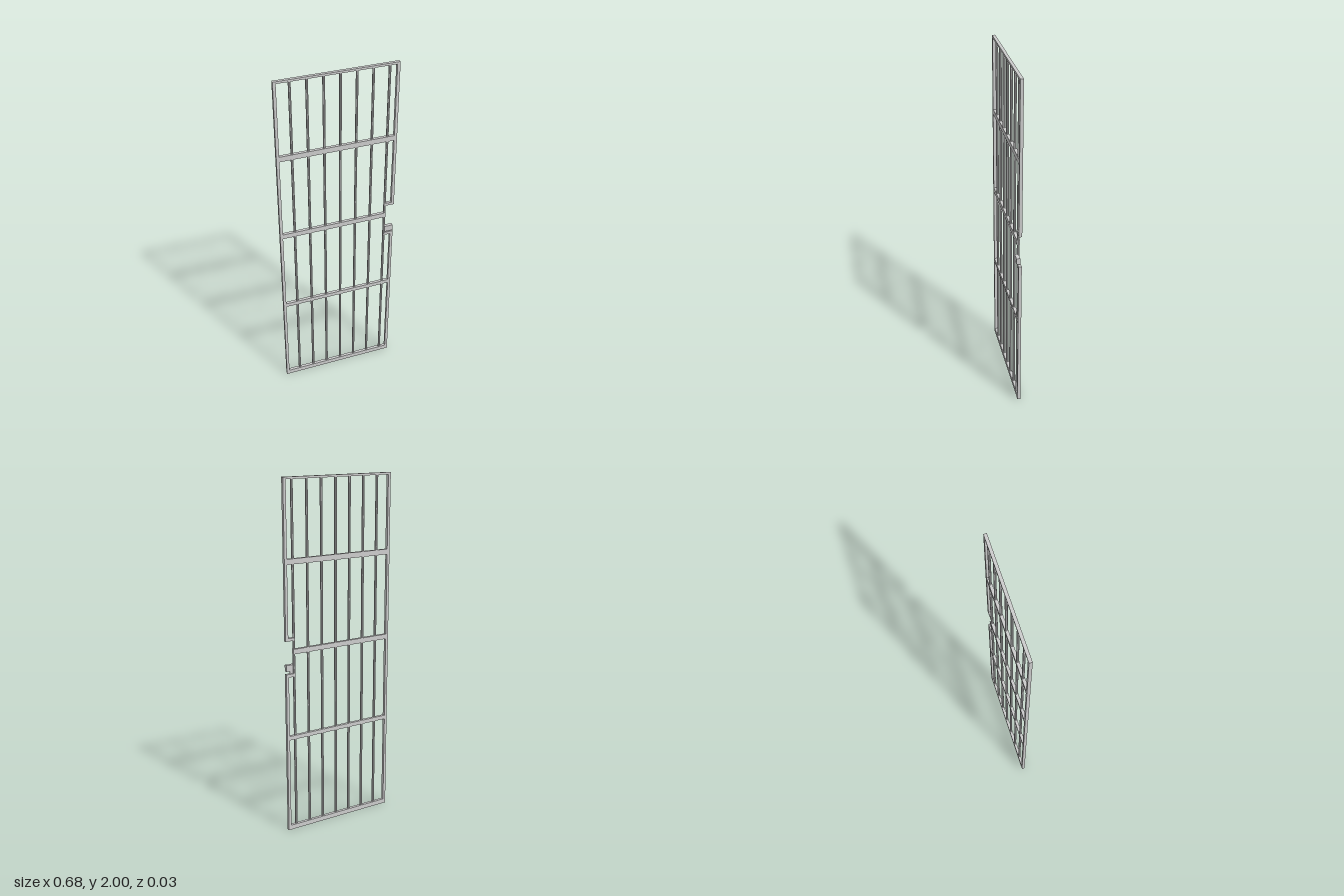
import * as THREE from 'three';

const material = new THREE.MeshStandardMaterial({ color: 0xcccccc, flatShading: true });
const BACK = -0.0145, FRONT = 0.003;

export function createModel() {
  const door = new THREE.Group();
  door.name = 'barredDoor';

  // Box given by its limits on each axis
  function box(name, x0, x1, y0, y1, z0 = BACK, z1 = FRONT) {
    const mesh = new THREE.Mesh(new THREE.BoxGeometry(x1 - x0, y1 - y0, z1 - z0), material);
    mesh.position.set((x0 + x1) / 2, (y0 + y1) / 2, (z0 + z1) / 2);
    mesh.name = name;
    door.add(mesh);
  }

  // Outer frame, with the left stile broken by the lock notch
  box('bottomRail', -0.338, 0.338, 0, 0.027);
  box('topRail', -0.338, 0.338, 1.988, 2);
  box('rightStile', -0.338, -0.322, 0.027, 1.988);
  box('leftStileLower', 0.322, 0.338, 0.027, 0.94);
  box('leftStileUpper', 0.322, 0.338, 1.127, 1.988);
  box('notchLowerCap', 0.283, 0.322, 0.922, 0.94);
  box('notchUpperCap', 0.283, 0.322, 1.127, 1.143);

  // Cross rails; the middle one stops at the notch
  box('lowerCrossRail', -0.322, 0.322, 0.553, 0.576);
  box('middleCrossRail', -0.322, 0.29, 1.05, 1.078);
  box('upperCrossRail', -0.322, 0.322, 1.545, 1.575);

  // Upright bars
  const bar = new THREE.CylinderGeometry(0.0075, 0.0075, 1.97, 8);
  for (let i = 0; i < 7; i++) {
    const mesh = new THREE.Mesh(bar, material);
    mesh.name = 'bar' + (i + 1);
    mesh.position.set(-0.251 + i * 0.0892, 1.005, -0.0057);
    door.add(mesh);
  }

  // Lock case and the small tab below it
  box('lockCase', 0.283, 0.332, 0.954, 0.99, -0.007, 0.0135);
  box('lockTab', 0.289, 0.31, 0.94, 0.954, -0.007, -0.001);

  return door;
}
